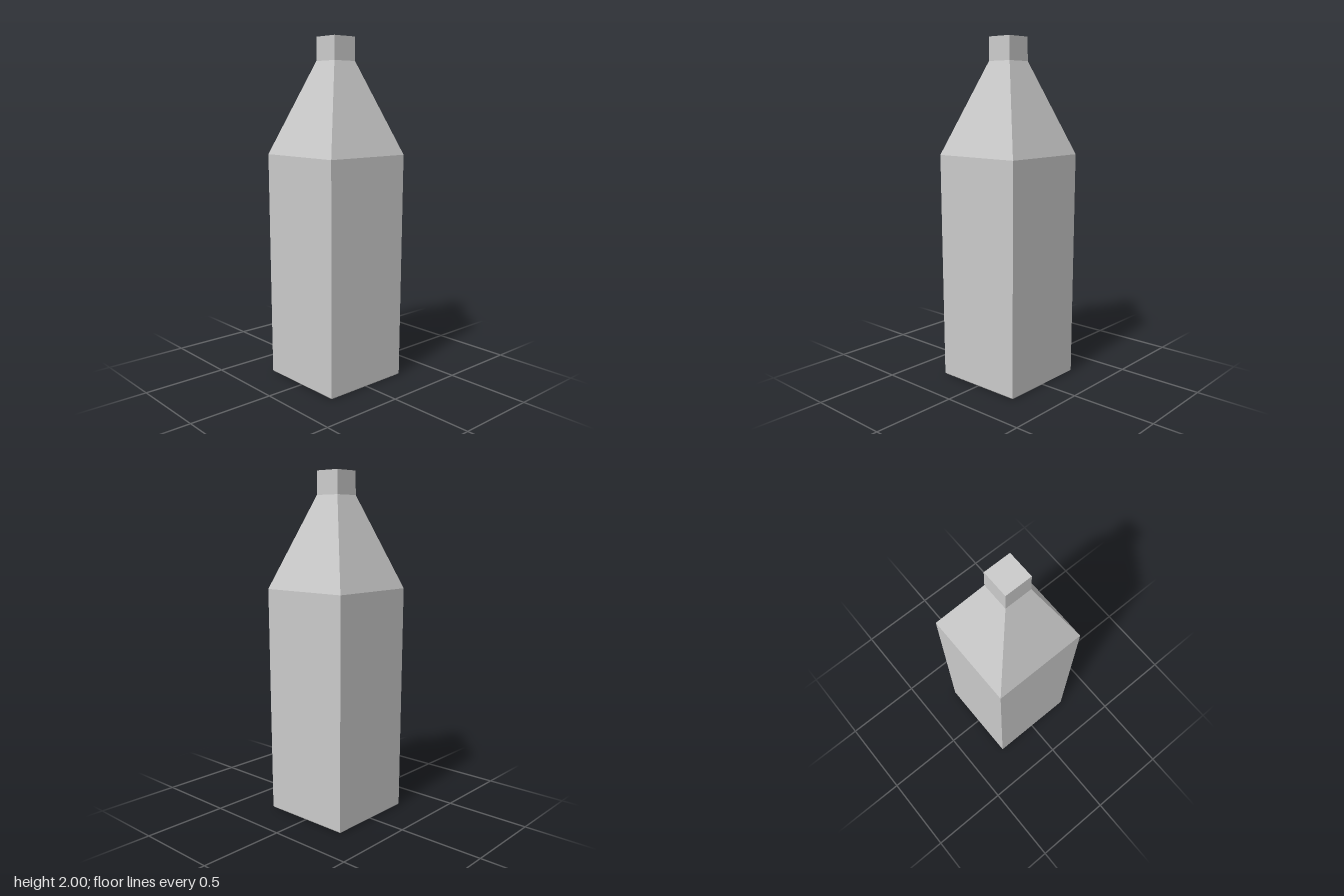
import * as THREE from 'three';

const material = new THREE.MeshStandardMaterial({ color: 0xcccccc, flatShading: true });

// Square-section part: profile is a list of [half width, height], bottom to top
function squarePart(name, profile) {
  const points = profile.map(([half, y]) => new THREE.Vector2(half * Math.SQRT2, y));
  const mesh = new THREE.Mesh(new THREE.LatheGeometry(points, 4, Math.PI / 4), material);
  mesh.name = name;
  return mesh;
}

export function createModel() {
  const bottle = new THREE.Group();
  bottle.name = 'squareBottle';

  bottle.add(
    // Body with a recessed underside, a small bevelled foot and a slight outward taper
    squarePart('body', [
      [0, 0.14], [0.266, 0.14], [0.266, 0], [0.272, 0.007], [0.278, 1.335],
    ]),
    // Sloping shoulder
    squarePart('shoulder', [[0.278, 1.335], [0.078, 1.865]]),
    // Neck closed by a flat top
    squarePart('neck', [[0.078, 1.865], [0.077, 2], [0, 2]]),
  );
  return bottle;
}
